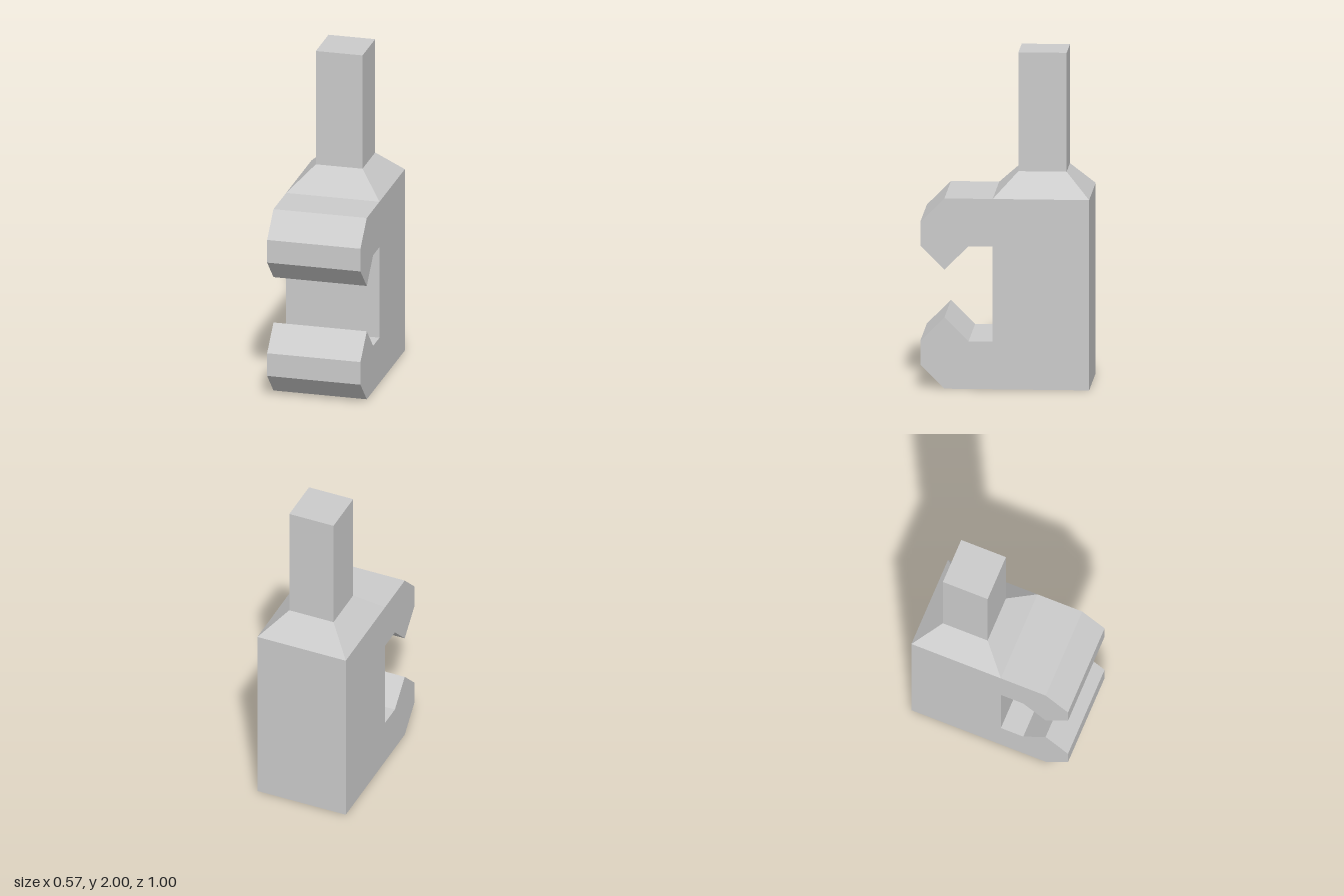
import * as THREE from 'three';

const U = 1 / 7; // module unit: the whole model sits on this grid
const WIDTH = 4 * U;
const STEM_Z = -1.5 * U;

export function createModel() {
  const group = new THREE.Group();
  const material = new THREE.MeshStandardMaterial({ color: 0xcccccc, flatShading: true });

  const add = (name, geometry, y = 0, z = 0) => {
    const mesh = new THREE.Mesh(geometry, material);
    mesh.name = name;
    mesh.position.set(0, y, z);
    group.add(mesh);
  };

  // Body with two hooked jaws: side profile as (z, y) in units, extruded across the width
  const lowerHalf = [[-3.5, 0], [2.5, 0], [3.5, 1], [3.5, 2], [2.5, 3], [1.5, 2], [0.5, 2]];
  const upperHalf = lowerHalf.map(([z, y]) => [z, 8 - y]).reverse();
  const profile = [...lowerHalf, ...upperHalf].map(([z, y]) => new THREE.Vector2(z * U, y * U));
  const body = new THREE.ExtrudeGeometry(new THREE.Shape(profile), { depth: WIDTH, bevelEnabled: false });
  body.translate(0, 0, -WIDTH / 2).rotateY(-Math.PI / 2);
  add('clampBody', body);

  // Sloping square collar between body and stem
  const collar = new THREE.CylinderGeometry(Math.SQRT2 * U, 2 * Math.SQRT2 * U, U, 4, 1, true, Math.PI / 4);
  add('taperedCollar', collar, 8.5 * U, STEM_Z);

  // Square stem
  add('stem', new THREE.BoxGeometry(2 * U, 5 * U, 2 * U), 11.5 * U, STEM_Z);

  return group;
}
